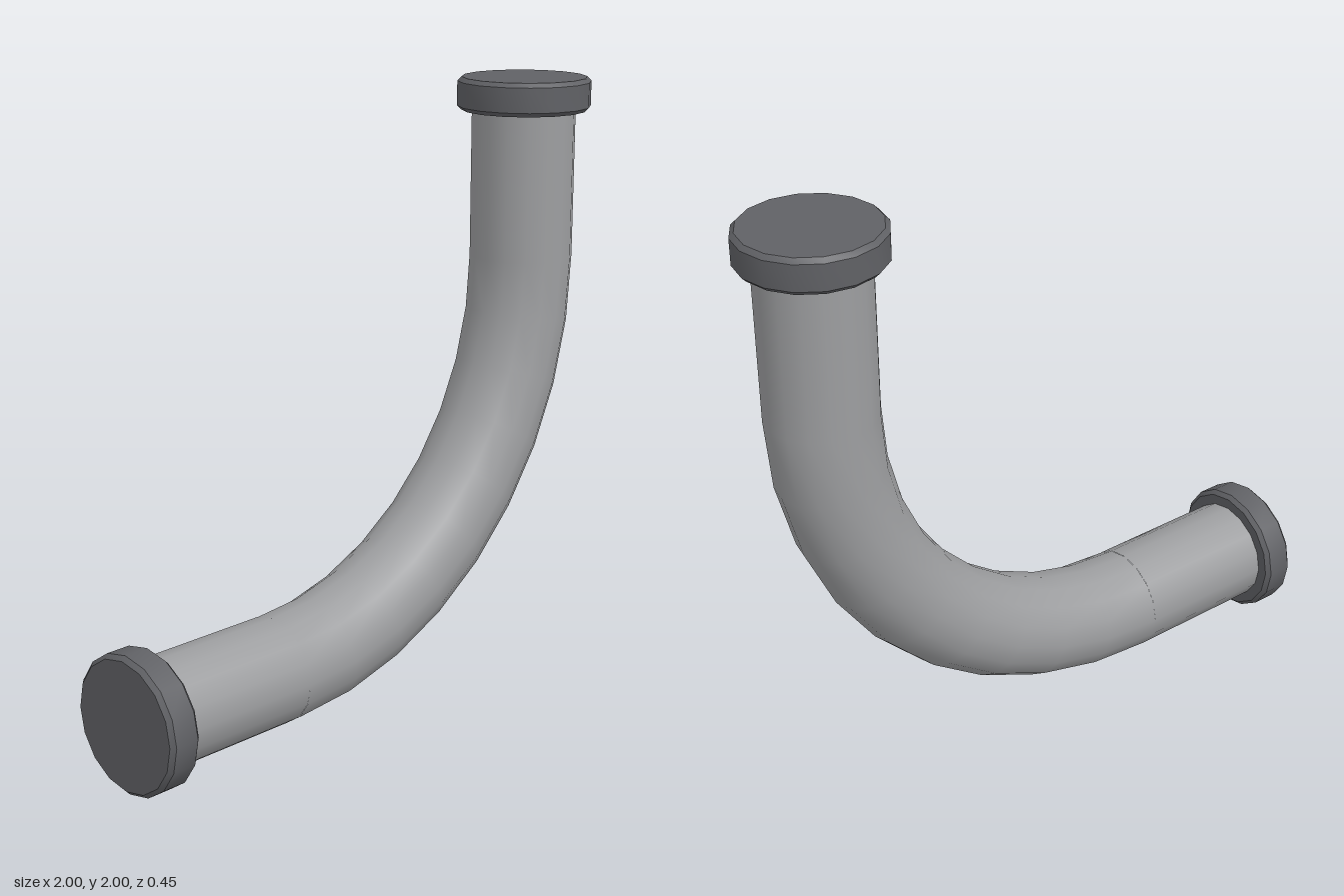
import * as THREE from 'three';
import { toCreasedNormals } from 'three/addons/utils/BufferGeometryUtils.js';

const SIDES = 16;
const PIPE_R = 0.174, FLANGE_R = 0.224, FLANGE_H = 0.11, BEVEL = 0.014;
const AXIS_X = 0.776, AXIS_Y = 0.225; // centre lines of the vertical and horizontal runs
const BEND_X = -0.4, BEND_Y = 1.4;    // centre of the elbow

export function createModel() {
  const pipeGrey = new THREE.MeshStandardMaterial({ color: 0x9d9ea0 });
  pipeGrey.name = 'pipeGrey';
  const flangeGrey = new THREE.MeshStandardMaterial({ color: 0x606165 });
  flangeGrey.name = 'flangeGrey';

  const model = new THREE.Group();
  model.name = 'pipeElbow';

  function add(name, geometry, material, x, y, turn = 0) {
    const mesh = new THREE.Mesh(geometry, material);
    mesh.name = name;
    mesh.position.set(x, y, 0);
    mesh.rotation.z = turn;
    model.add(mesh);
  }

  // Quarter bend joining the two straight runs
  const bend = new THREE.TorusGeometry(AXIS_X - BEND_X, PIPE_R, SIDES, 9, Math.PI / 2);
  add('bend', bend, pipeGrey, BEND_X, BEND_Y, -Math.PI / 2);

  // Straight runs, ending inside the flanges
  const run = (length) => new THREE.CylinderGeometry(PIPE_R, PIPE_R, length, SIDES, 1, true);
  const top = 1.95, left = -0.95;
  add('verticalPipe', run(top - BEND_Y), pipeGrey, AXIS_X, (top + BEND_Y) / 2);
  add('horizontalPipe', run(BEND_X - left), pipeGrey, (left + BEND_X) / 2, AXIS_Y, Math.PI / 2);

  // Closed end flanges with bevelled rims
  const h = FLANGE_H / 2;
  const profile = [
    [0, -h], [FLANGE_R - BEVEL, -h], [FLANGE_R, -h + BEVEL],
    [FLANGE_R, h - BEVEL], [FLANGE_R - BEVEL, h], [0, h],
  ].map(([x, y]) => new THREE.Vector2(x, y));
  const flange = toCreasedNormals(new THREE.LatheGeometry(profile, SIDES), Math.PI / 6);
  add('topFlange', flange, flangeGrey, AXIS_X, 2 - h);
  add('sideFlange', flange, flangeGrey, -1 + h, AXIS_Y, Math.PI / 2);

  return model;
}
